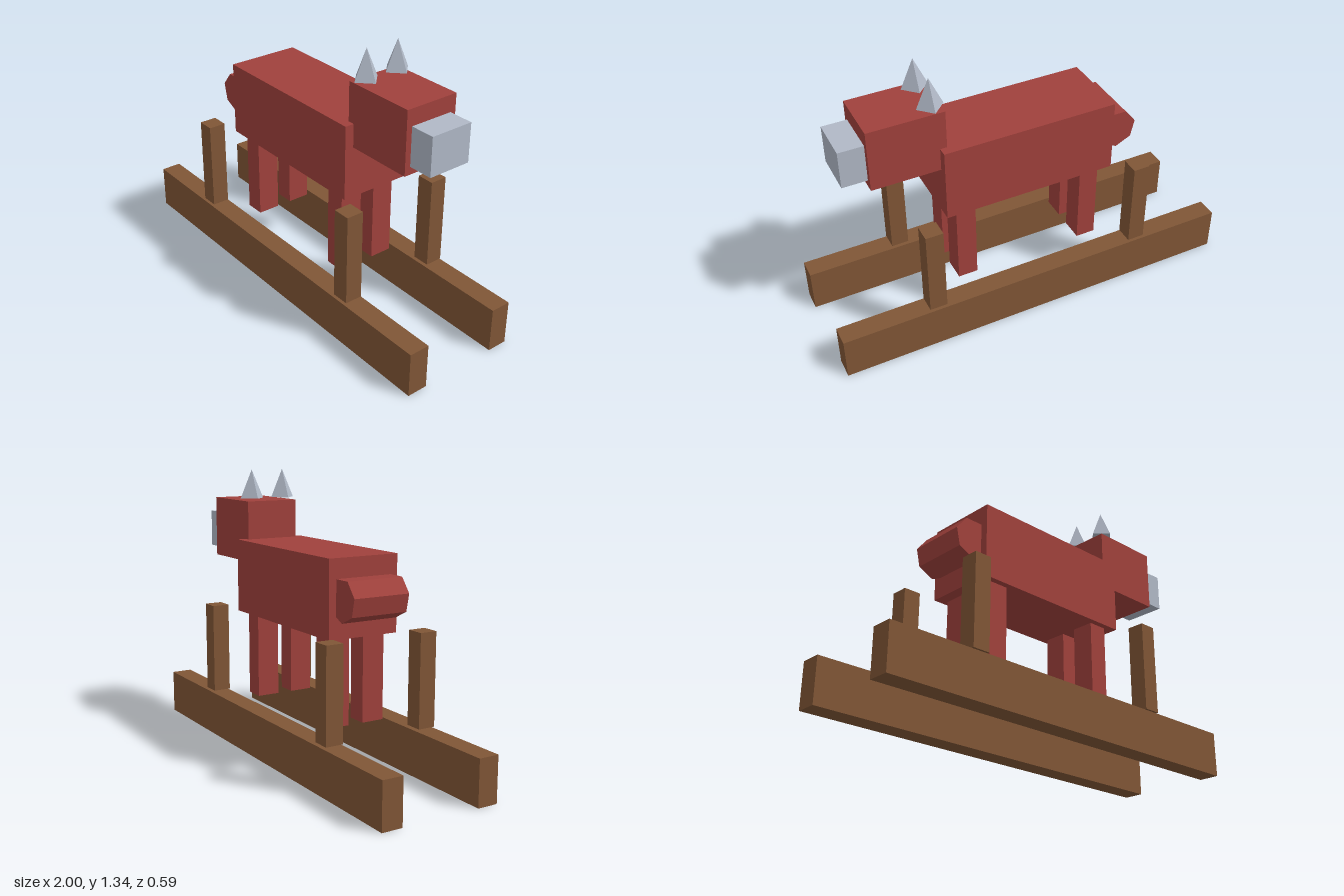
import * as THREE from 'three';

export function createModel() {
  const model = new THREE.Group();
  model.name = 'animalOnRails';

  const material = (name, color) => {
    const m = new THREE.MeshStandardMaterial({ color });
    m.name = name;
    m.flatShading = true;
    return m;
  };
  const red = material('red', 0xa0413c);
  const brown = material('brown', 0x805636);
  const grey = material('grey', 0xb0b8c6);

  const add = (name, geometry, mat, x, y, z) => {
    const mesh = new THREE.Mesh(geometry, mat);
    mesh.name = name;
    mesh.position.set(x, y, z);
    model.add(mesh);
    return mesh;
  };
  // Box from its x range, y range, centre z and depth
  const box = (name, mat, [x0, x1], [y0, y1], z, depth) =>
    add(name, new THREE.BoxGeometry(x1 - x0, y1 - y0, depth), mat,
      (x0 + x1) / 2, (y0 + y1) / 2, z);

  // Trunk, head and snout
  box('body', red, [-0.428, 0.423], [0.643, 1.0], 0, 0.356);
  box('head', red, [0.39, 0.748], [0.888, 1.187], 0, 0.268);
  box('snout', grey, [0.748, 0.866], [0.925, 1.108], 0, 0.212);

  // Seven-sided tail roll lying across the rump
  const tail = add('tail', new THREE.CylinderGeometry(0.0985, 0.0985, 0.283, 7), red,
    -0.473, 0.821, 0);
  tail.rotation.x = Math.PI / 2;

  for (const [side, s] of [['left', -1], ['right', 1]]) {
    // Rail under each flank
    box(side + 'Rail', brown, [-1, 1], [0, 0.216], s * 0.243, 0.1);
    // Four-sided horn, hovering just above the head
    add(side + 'Horn', new THREE.ConeGeometry(0.063, 0.14, 4), grey, 0.44, 1.27, s * 0.086);

    for (const [end, legX, postX] of [['Rear', -0.325, -0.537], ['Front', 0.32, 0.532]]) {
      box(side + end + 'Leg', red, [legX - 0.048, legX + 0.048], [0.23, 0.643], s * 0.0925, 0.111);
      box(side + end + 'Post', brown, [postX - 0.0425, postX + 0.0425], [0.226, 0.664],
        s * 0.2435, 0.085);
    }
  }
  return model;
}
